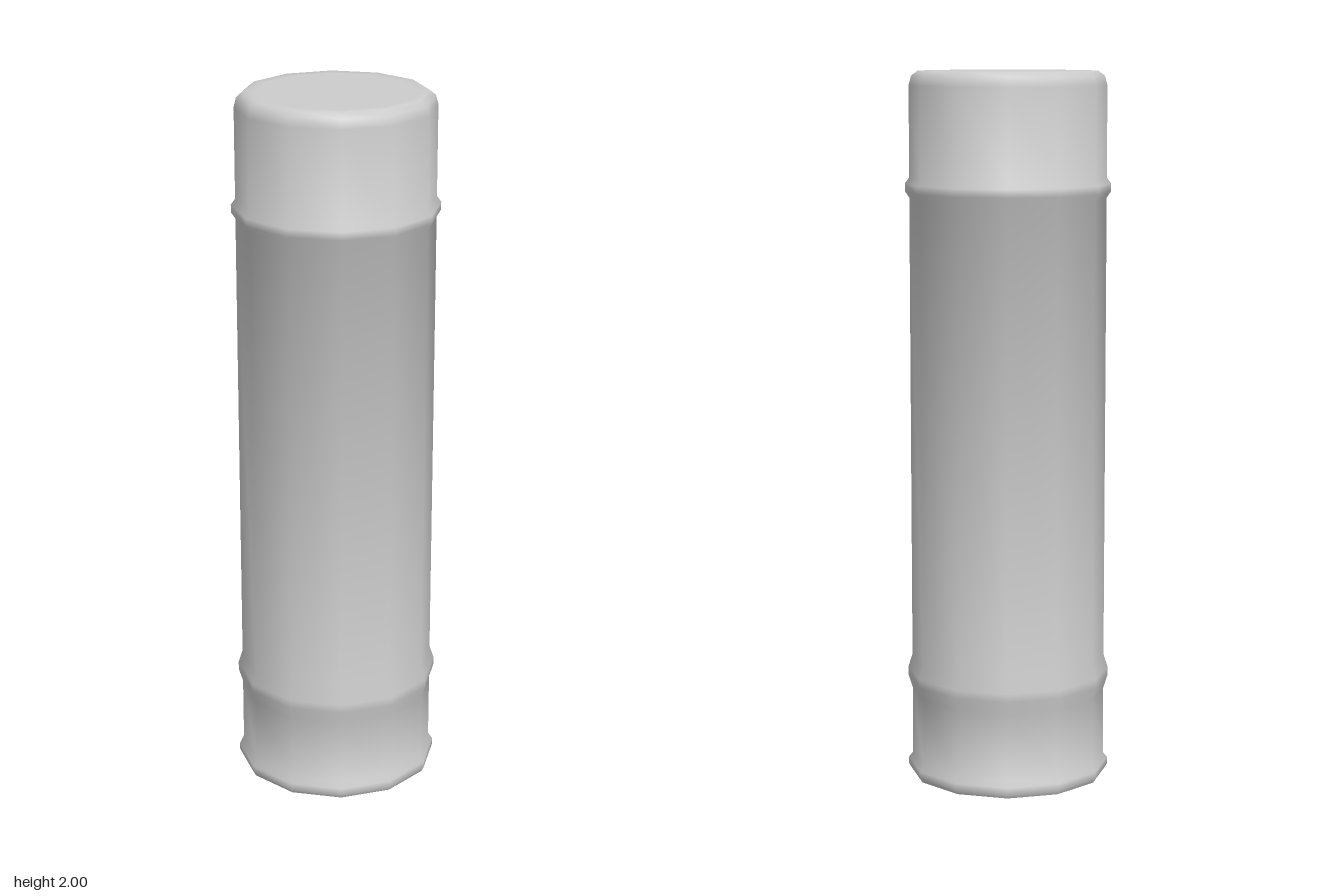
import * as THREE from 'three';

// Twelve-sided turned part; normals average neighbouring profile segments evenly,
// and a doubled profile point gives a hard edge.
function turned(name, points, material) {
  const profile = points.map(([r, y]) => new THREE.Vector2(r, y));
  const geometry = new THREE.LatheGeometry(profile, 12);
  const n = profile.length;
  const segments = profile.slice(1).map((p, i) =>
    new THREE.Vector2(p.y - profile[i].y, profile[i].x - p.x).normalize());
  const normals = profile.map((_, j) => {
    const v = new THREE.Vector2();
    if (j > 0) v.add(segments[j - 1]);
    if (j < n - 1) v.add(segments[j]);
    return v.normalize();
  });
  const attribute = geometry.attributes.normal;
  for (let i = 0; i <= 12; i++) {
    const a = (i / 12) * Math.PI * 2;
    normals.forEach((v, j) =>
      attribute.setXYZ(i * n + j, v.x * Math.sin(a), v.y, v.x * Math.cos(a)));
  }
  const mesh = new THREE.Mesh(geometry, material);
  mesh.name = name;
  return mesh;
}

export function createModel() {
  const group = new THREE.Group();
  group.name = 'canister';
  const grey = new THREE.MeshStandardMaterial({ color: 0xcccccc });
  grey.name = 'light grey';

  group.add(turned('canisterBody', [
    // flat base with a hard edge
    [0, 0], [0.28, 0], [0.28, 0],
    // foot lip
    [0.287, 0.012], [0.287, 0.032], [0.275, 0.047],
    // lower band
    [0.275, 0.24], [0.287, 0.278], [0.287, 0.302], [0.275, 0.34],
    // long wall and upper band
    [0.275, 1.65], [0.287, 1.668], [0.287, 1.69], [0.275, 1.706],
    // cap with rounded rim
    [0.275, 1.96], [0.268, 1.986], [0.25, 2], [0.22, 2], [0, 2],
  ], grey));
  return group;
}
